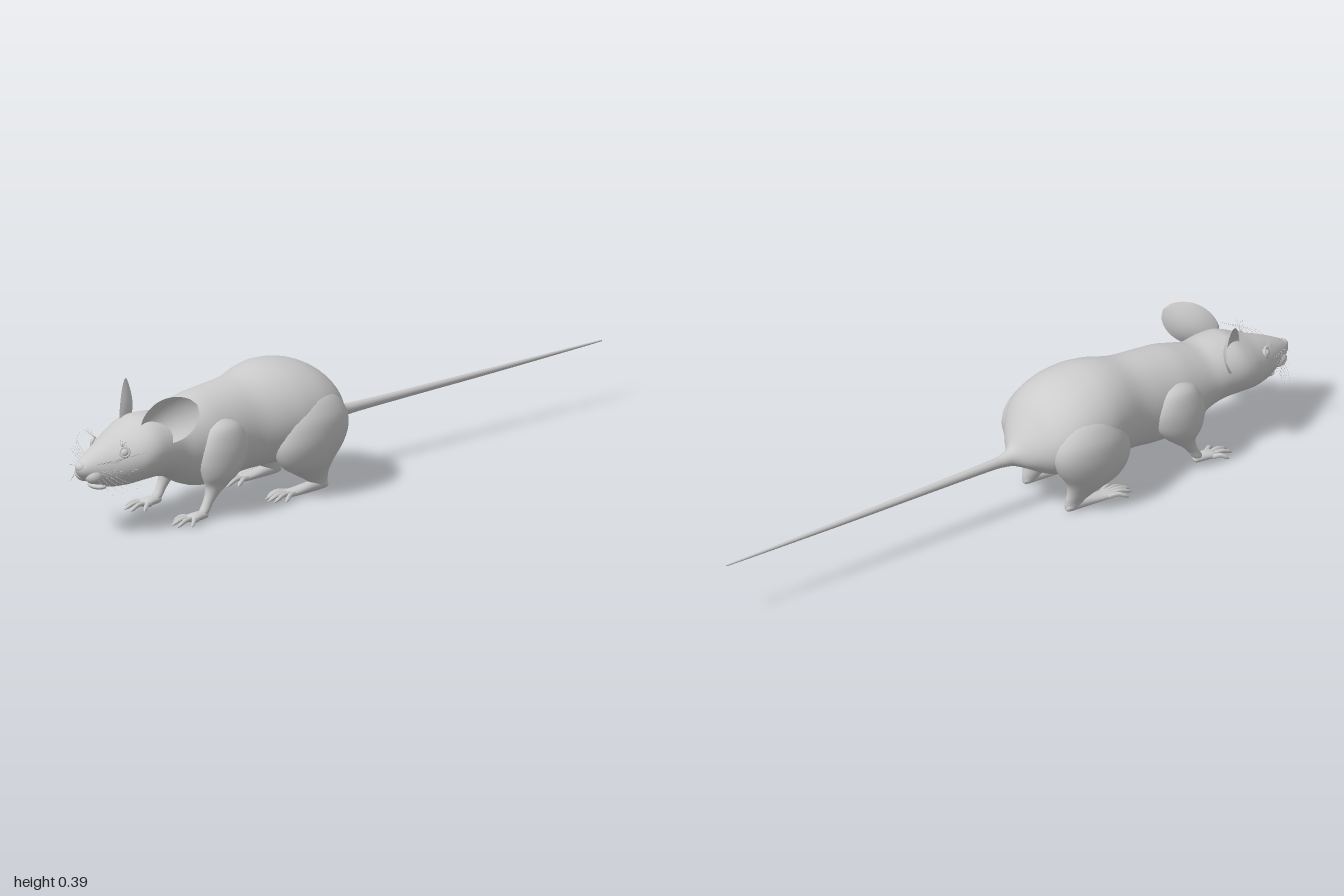
import * as THREE from 'three';

const grey = new THREE.MeshStandardMaterial({ color: 0xcccccc });
const greyThin = new THREE.MeshStandardMaterial({ color: 0xcccccc, side: THREE.DoubleSide });

function add(parent, name, geometry, material = grey) {
  const mesh = new THREE.Mesh(geometry, material);
  mesh.name = name;
  parent.add(mesh);
  return mesh;
}

// Smoothly interpolates rows of numbers (Catmull-Rom)
function smoothRows(rows, steps) {
  const out = [], last = rows.length - 1;
  for (let i = 0; i < last; i++) {
    const [a, b, c, d] = [rows[Math.max(i - 1, 0)], rows[i], rows[i + 1], rows[Math.min(i + 2, last)]];
    for (let s = 0; s < steps; s++) {
      const t = s / steps;
      out.push(b.map((_, k) => {
        const cubic = 3 * (b[k] - c[k]) + d[k] - a[k];
        const square = 2 * a[k] - 5 * b[k] + 4 * c[k] - d[k];
        return b[k] + 0.5 * t * (c[k] - a[k] + t * (square + t * cubic));
      }));
    }
  }
  out.push(rows[last]);
  return out;
}

// Skin over closed rings; place(row, cos, sin) gives each point
function loft(rows, place, sides = 32, steps = 4) {
  const rings = smoothRows(rows, steps), pos = [], index = [];
  for (const row of rings) {
    for (let j = 0; j < sides; j++) {
      const a = (j / sides) * Math.PI * 2;
      pos.push(...place(row, Math.cos(a), Math.sin(a)));
    }
  }
  for (let i = 0; i < rings.length - 1; i++) {
    for (let j = 0; j < sides; j++) {
      const k = (j + 1) % sides;
      const a = i * sides + j, b = i * sides + k, c = a + sides, d = b + sides;
      index.push(a, b, d, a, d, c);
    }
  }
  const g = new THREE.BufferGeometry();
  g.setAttribute('position', new THREE.Float32BufferAttribute(pos, 3));
  g.setIndex(index);
  g.computeVertexNormals();
  return g;
}

// Rows along z: [z, half width, top y, bottom y, centre x]
const alongZ = ([z, w, top, low, cx = 0], c, s) => [cx + w * c, (top + low) / 2 + (top - low) / 2 * s, z];
// Rows down y: [y, centre x, centre z, radius x, radius z]
const downY = ([y, cx, cz, rx, rz], c, s) => [cx + rx * c, y, cz + rz * s];

// Tube whose radius follows radius(t)
function taper(points, radius, sides = 8, segs = 10) {
  const curve = new THREE.CatmullRomCurve3(points.map(p => new THREE.Vector3(...p)));
  const g = new THREE.TubeGeometry(curve, segs, 1, sides);
  const p = g.attributes.position, v = new THREE.Vector3();
  for (let i = 0; i < p.count; i++) {
    const t = Math.floor(i / (sides + 1)) / segs, centre = curve.getPointAt(t);
    v.fromBufferAttribute(p, i).sub(centre).multiplyScalar(radius(t)).add(centre);
    p.setXYZ(i, v.x, v.y, v.z);
  }
  g.computeVertexNormals();
  return g;
}

function ellipsoid(parent, name, at, r) {
  const m = add(parent, name, new THREE.SphereGeometry(1, 24, 16));
  m.position.set(...at);
  m.scale.set(...r);
}

// Cupped teardrop ear
function earGeometry() {
  const base = new THREE.Vector3(0.053, 0.283, 0.787), far = new THREE.Vector3(0.15, 0.37, 0.67);
  const along = far.clone().sub(base), dir = along.clone().normalize();
  const up = new THREE.Vector3(0, 1, 0).addScaledVector(dir, -dir.y).normalize();
  const out = dir.clone().cross(up);
  const g = new THREE.PlaneGeometry(2, 1, 14, 20), p = g.attributes.position;
  for (let i = 0; i < p.count; i++) {
    const u = p.getX(i), t = Math.max(0, p.getY(i) + 0.5);
    const half = 0.016 * (1 - t) + 0.058 * Math.sqrt(Math.max(0, Math.sin(Math.PI * t ** 1.15)));
    const cup = 0.026 * (u * u - 1) * Math.sin(Math.PI * Math.min(1, t * 0.85 + 0.15));
    const v = base.clone().addScaledVector(along, t).addScaledVector(up, u * half).addScaledVector(out, cup);
    p.setXYZ(i, v.x, v.y, v.z);
  }
  g.computeVertexNormals();
  return g;
}

// Paw with a flat sole and spread toes
function paw(parent, name, sole, toes, palmZ, tipZ) {
  const group = new THREE.Group();
  group.name = name;
  add(group, 'sole', loft(sole, alongZ, 16));
  for (let i = 0; i < toes; i++) {
    const f = i / (toes - 1) * 2 - 1, end = tipZ - 0.035 * f * f;
    const x0 = 0.1 + f * 0.017, x1 = 0.102 + f * 0.04;
    add(group, 'toe', taper([[x0, 0.015, palmZ], [(x0 + x1) / 2, 0.019, (palmZ + end) / 2], [x1, 0.006, end]],
      t => 0.0075 - 0.002 * t - 0.004 * Math.max(0, t - 0.8) / 0.2));
  }
  parent.add(group);
}

function side(name) {
  const g = new THREE.Group();
  g.name = name;
  // Hind leg
  add(g, 'hindLeg', loft([
    [0.325, 0.085, 0.2, 0.004, 0.01], [0.3, 0.095, 0.2, 0.056, 0.075], [0.25, 0.112, 0.2, 0.071, 0.112],
    [0.2, 0.117, 0.205, 0.073, 0.128], [0.15, 0.117, 0.215, 0.067, 0.122], [0.1, 0.115, 0.218, 0.05, 0.092],
    [0.065, 0.107, 0.194, 0.032, 0.06], [0.035, 0.1, 0.167, 0.02, 0.036], [0.012, 0.1, 0.155, 0.014, 0.023],
    [0.004, 0.1, 0.155, 0.002, 0.003]], downY));
  paw(g, 'hindFoot', [[0.13, 0.002, 0.016, 0.012, 0.1], [0.14, 0.014, 0.032, 0.004, 0.1], [0.19, 0.017, 0.034, 0.002, 0.1],
    [0.25, 0.022, 0.027, 0.003, 0.1], [0.285, 0.023, 0.024, 0.006, 0.1], [0.3, 0.004, 0.016, 0.012, 0.1]], 5, 0.27, 0.36);
  // Front leg
  add(g, 'frontLeg', loft([
    [0.295, 0.09, 0.53, 0.003, 0.006], [0.27, 0.095, 0.53, 0.038, 0.058], [0.22, 0.104, 0.53, 0.045, 0.084],
    [0.17, 0.106, 0.535, 0.045, 0.083], [0.13, 0.106, 0.543, 0.038, 0.064], [0.1, 0.101, 0.553, 0.027, 0.04],
    [0.075, 0.1, 0.57, 0.018, 0.024], [0.05, 0.1, 0.587, 0.014, 0.017], [0.025, 0.1, 0.603, 0.014, 0.015],
    [0.012, 0.1, 0.608, 0.003, 0.004]], downY));
  paw(g, 'frontFoot', [[0.588, 0.002, 0.02, 0.014, 0.1], [0.597, 0.013, 0.03, 0.007, 0.1], [0.63, 0.02, 0.031, 0.006, 0.1],
    [0.655, 0.022, 0.026, 0.007, 0.1], [0.668, 0.004, 0.018, 0.012, 0.1]], 4, 0.645, 0.72);
  add(g, 'ear', earGeometry(), greyThin);
  // Eye with a raised lid
  const eye = [0.064, 0.252, 0.874];
  ellipsoid(g, 'eye', eye, [0.0135, 0.0135, 0.0135]);
  const lid = add(g, 'eyelid', new THREE.TorusGeometry(0.0135, 0.0035, 8, 24));
  lid.position.set(eye[0] + 0.004, eye[1] + 0.002, eye[2] + 0.003);
  lid.lookAt(eye[0] + 0.75, eye[1] + 0.35, eye[2] + 0.55);
  // Whiskers on the muzzle and above the eye
  for (let i = 0; i < 15; i++) {
    const row = Math.floor(i / 5), k = i % 5;
    const y = 0.188 + row * 0.016, z = 0.955 - k * 0.012, x = 0.03 + k * 0.006;
    const tip = [x + 0.065 + 0.006 * k, y + (row - 1) * 0.035 + (k - 2) * 0.006, z - 0.015 - 0.008 * k];
    add(g, 'whisker', taper([[x, y, z], [(x + tip[0]) / 2, (y + tip[1]) / 2 + 0.004, z], tip],
      t => 0.0008 * (1 - 0.8 * t), 3, 5));
  }
  for (let i = 0; i < 4; i++) {
    add(g, 'browWhisker', taper([[0.055, 0.264, 0.874], [0.06 + i * 0.006, 0.278, 0.885],
      [0.062 + i * 0.014, 0.3 - i * 0.004, 0.89]], t => 0.0008 * (1 - 0.8 * t), 3, 5));
  }
  return g;
}

export function createModel() {
  const model = new THREE.Group();
  model.name = 'mouse';

  // Tail, trunk and head in one smooth skin
  add(model, 'body', loft([
    [-1, 0.001, 0.181, 0.179], [-0.98, 0.003, 0.183, 0.177], [-0.6, 0.008, 0.187, 0.17], [-0.3, 0.011, 0.19, 0.167],
    [-0.08, 0.014, 0.194, 0.164], [-0.02, 0.018, 0.198, 0.16], [0.015, 0.032, 0.216, 0.153], [0.05, 0.085, 0.268, 0.138],
    [0.1, 0.142, 0.332, 0.112], [0.17, 0.168, 0.373, 0.095], [0.25, 0.168, 0.39, 0.09], [0.32, 0.15, 0.388, 0.09],
    [0.4, 0.125, 0.369, 0.087], [0.48, 0.122, 0.361, 0.077], [0.56, 0.122, 0.352, 0.077], [0.62, 0.114, 0.336, 0.096],
    [0.67, 0.106, 0.323, 0.124], [0.72, 0.108, 0.327, 0.138], [0.77, 0.112, 0.327, 0.14], [0.81, 0.108, 0.311, 0.139],
    [0.85, 0.093, 0.292, 0.137], [0.9, 0.07, 0.272, 0.142], [0.945, 0.046, 0.252, 0.16], [0.98, 0.027, 0.233, 0.182],
    [0.994, 0.014, 0.222, 0.198], [0.998, 0.001, 0.212, 0.21]], alongZ, 40));

  // Nose and mouth
  ellipsoid(model, 'nose', [0, 0.216, 0.984], [0.018, 0.015, 0.016]);
  ellipsoid(model, 'lowerLip', [0, 0.15, 0.922], [0.034, 0.011, 0.022]);
  for (const s of [-1, 1]) ellipsoid(model, 'muzzlePad', [s * 0.02, 0.188, 0.95], [0.026, 0.024, 0.03]);

  // Paired parts
  const left = side('leftSide'), right = side('rightSide');
  right.scale.x = -1;
  model.add(left, right);
  return model;
}
